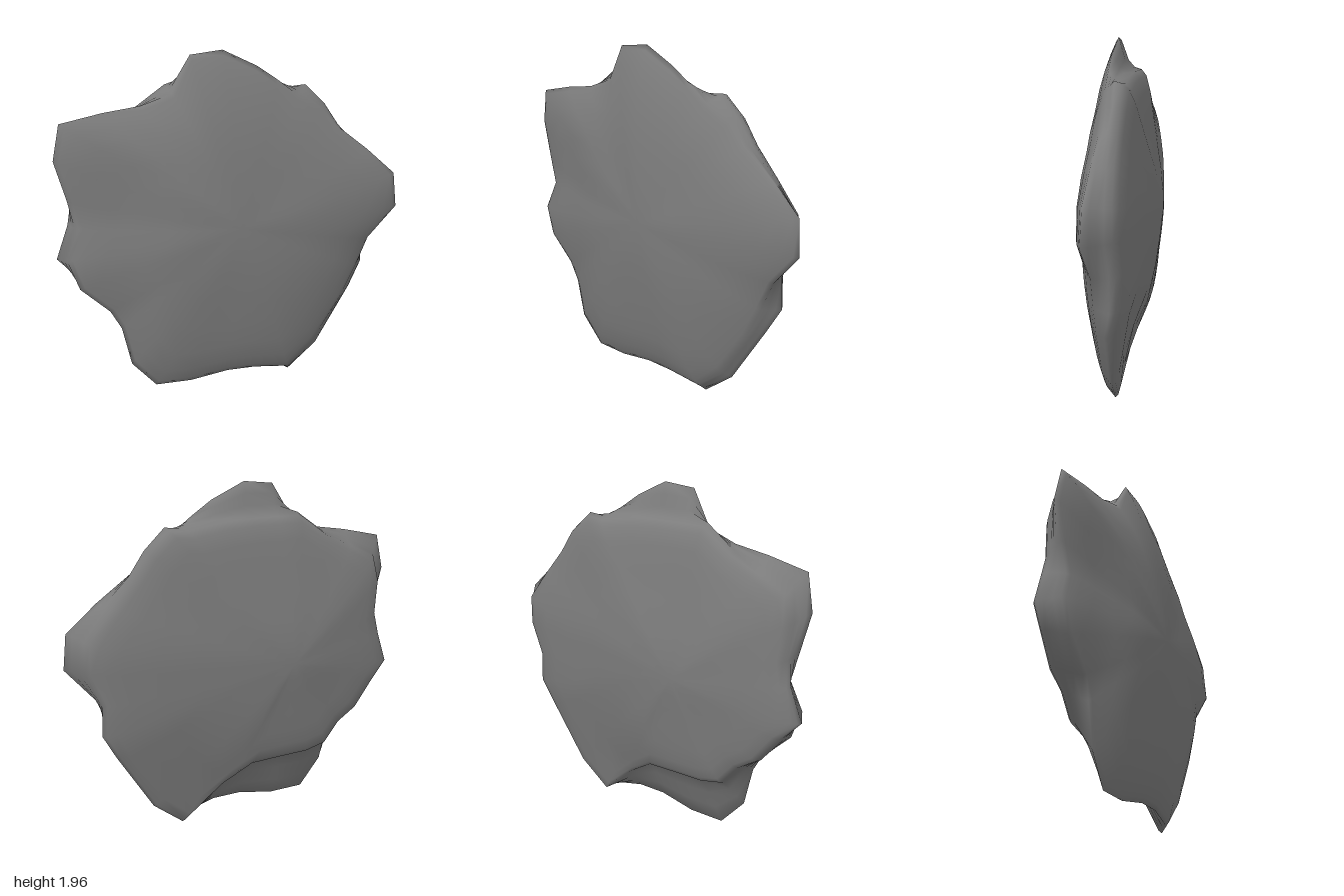
import * as THREE from 'three';

const { lerp, smoothstep } = THREE.MathUtils;

// Irregular rim of the front slab [x, y, z], counter-clockwise from the top
const frontRim = [
  [-0.07, 1.96, 0.04], [-0.25, 1.94, 0.05], [-0.35, 1.74, 0.05], [-0.52, 1.68, 0.04], [-0.72, 1.65, 0.03],
  [-0.95, 1.6, 0.02], [-0.99, 1.4, 0.01], [-0.93, 1.18, 0.02], [-0.88, 1.02, 0.03], [-0.95, 0.85, 0.05],
  [-0.89, 0.68, 0.06], [-0.73, 0.53, 0.06], [-0.67, 0.42, 0.06], [-0.62, 0.19, 0.06], [-0.48, 0.03, 0.05],
  [-0.27, 0.03, 0.05], [-0.05, 0.07, 0.06], [0.12, 0.07, 0.06], [0.33, 0.05, 0.05], [0.49, 0.2, 0.05],
  [0.66, 0.47, 0.05], [0.75, 0.66, 0.05], [0.82, 0.83, 0.05], [0.98, 1.02, 0.07], [0.96, 1.22, 0.06],
  [0.79, 1.37, 0.05], [0.6, 1.51, 0.04], [0.5, 1.62, 0.04], [0.36, 1.7, 0.05], [0.24, 1.79, 0.05], [0.12, 1.87, 0.05],
];
// Rim of the smaller back lobe, point for point; its lower left edge overhangs
const backRim = [
  [-0.08, 1.78, -0.01], [-0.24, 1.78, -0.01], [-0.38, 1.78, -0.01], [-0.56, 1.65, -0.02], [-0.72, 1.58, -0.03],
  [-0.88, 1.5, -0.04], [-0.92, 1.35, -0.04], [-0.9, 1.15, -0.05], [-0.93, 1.02, -0.06], [-1, 0.83, -0.05],
  [-0.9, 0.72, -0.06], [-0.78, 0.56, -0.06], [-0.66, 0.48, -0.06], [-0.56, 0.36, -0.07], [-0.43, 0.33, -0.07],
  [-0.25, 0.33, -0.07], [-0.06, 0.32, -0.06], [0.12, 0.2, -0.03], [0.35, 0, 0], [0.53, 0.15, -0.01],
  [0.74, 0.5, -0.02], [0.82, 0.65, -0.04], [0.81, 0.83, -0.04], [0.89, 1.02, -0.03], [0.89, 1.19, -0.03],
  [0.76, 1.36, -0.02], [0.63, 1.51, -0.02], [0.54, 1.64, -0.02], [0.42, 1.75, -0.01], [0.31, 1.74, -0.01], [0.1, 1.77, -0.01],
];

const frontPeak = [0, 1, 0.197], backPeak = [-0.28, 0.95, -0.198];
// Loops inside each rim: [scale about the peak, share of the peak's height]
const frontLoops = [[0.14, 0.98], [0.28, 0.93], [0.45, 0.82], [0.62, 0.69], [0.78, 0.51], [0.9, 0.29], [0.97, 0.1], [1, 0]];
const backLoops = [[1, 0], [0.985, 0.2], [0.94, 0.35], [0.84, 0.49], [0.68, 0.62], [0.5, 0.75], [0.3, 0.89], [0.14, 0.97]];

// One loop of a face, shrunk toward its peak with shallow dents,
// a low left shoulder in front and a flattened lower right corner behind
function faceLoop(rim, peak, [scale, lift]) {
  const front = peak[2] > 0;
  return rim.map((p) => {
    const x = lerp(peak[0], p[0], scale), y = lerp(peak[1], p[1], scale);
    const dent = 0.007 * Math.sin(5 * x + 3 * y + 1) * Math.cos(6 * y - 4 * x) * Math.min(1, scale * 2, lift * 3);
    const shoulder = front ? 0.035 * lift * smoothstep(-x, 0.4, 0.65) : 0;
    const flat = front ? 0 : 0.6 * smoothstep(x, -0.1, 0.2) * smoothstep(-y, -0.6, -0.2);
    return [x, y, lerp(p[2], peak[2], lift * (1 - flat)) + dent - shoulder];
  });
}

function rockGeometry() {
  const n = frontRim.length;
  const edge = [0.35, 0.7].map((t) => frontRim.map((p, j) => p.map((v, c) => lerp(v, backRim[j][c], t))));
  const loops = [
    ...frontLoops.map((l) => faceLoop(frontRim, frontPeak, l)),
    ...edge,
    ...backLoops.map((l) => faceLoop(backRim, backPeak, l)),
  ];
  const pos = [frontPeak, ...loops.flat(), backPeak].flat();
  const index = [], lastLoop = 1 + (loops.length - 1) * n;

  // Closed skin: front fan, bands between loops, back fan
  for (let j = 0; j < n; j++) {
    const k = (j + 1) % n;
    index.push(0, 1 + j, 1 + k);
    for (let a = 1; a < lastLoop; a += n) {
      const b = a + n;
      index.push(a + j, b + j, b + k, a + j, b + k, a + k);
    }
    index.push(lastLoop + j, lastLoop + n, lastLoop + k);
  }
  const geometry = new THREE.BufferGeometry();
  geometry.setAttribute('position', new THREE.Float32BufferAttribute(pos, 3));
  geometry.setIndex(index);
  geometry.computeVertexNormals();
  return geometry;
}

export function createModel() {
  const stone = new THREE.MeshStandardMaterial({ color: 0x7c7c7c });
  stone.name = 'grey stone';
  const rock = new THREE.Mesh(rockGeometry(), stone);
  rock.name = 'rockSlab';
  const group = new THREE.Group();
  group.name = 'rock';
  group.add(rock);
  return group;
}
